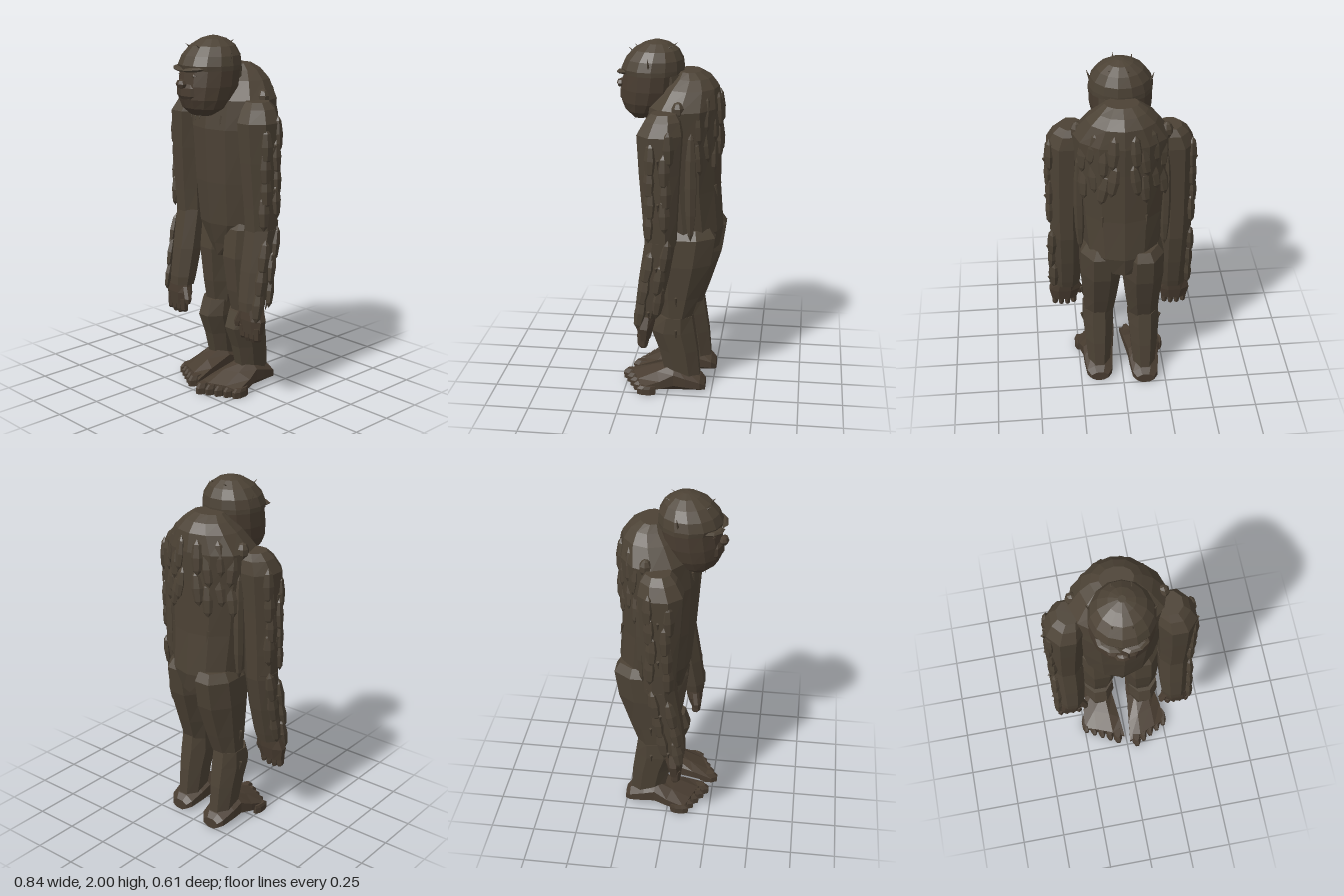
import * as THREE from 'three';

const fur = new THREE.MeshStandardMaterial({ color: 0x4c4235 });
fur.name = 'darkBrownFur';
const skin = new THREE.MeshStandardMaterial({ color: 0x493d31 });
skin.name = 'warmBrownSkin';

// faceted mesh
function part(name, geo, mat, parent) {
  const g = geo.index ? geo.toNonIndexed() : geo;
  g.computeVertexNormals();
  const m = new THREE.Mesh(g, mat);
  m.name = name;
  parent.add(m);
  return m;
}

// closed skin over level rings, bottom to top: [x, y, z, rx, rz]
function loft(rings, n, turn = 0.5) {
  const pos = [], idx = [];
  for (const [x, y, z, rx, rz] of rings) {
    for (let j = 0; j < n; j++) {
      const a = ((j + turn) / n) * Math.PI * 2;
      pos.push(x + Math.cos(a) * rx, y, z + Math.sin(a) * rz);
    }
  }
  const last = rings.length - 1, c0 = rings.length * n;
  pos.push(...rings[0].slice(0, 3), ...rings[last].slice(0, 3));
  for (let j = 0; j < n; j++) {
    const k = (j + 1) % n;
    for (let i = 0; i < last; i++) {
      const a = i * n + j, b = i * n + k;
      idx.push(a, a + n, b, b, a + n, b + n);
    }
    idx.push(c0, j, k, c0 + 1, last * n + k, last * n + j);
  }
  const g = new THREE.BufferGeometry();
  g.setAttribute('position', new THREE.Float32BufferAttribute(pos, 3));
  g.setIndex(idx);
  return g;
}

// faceted ellipsoid lump
function lump(name, x, y, z, rx, ry, rz, mat, parent, w = 7, h = 5) {
  const m = part(name, new THREE.SphereGeometry(1, w, h).scale(rx, ry, rz), mat, parent);
  m.position.set(x, y, z);
  return m;
}

// pointed wisp of hair
function wisp(x, y, z, len, rx, rz, parent) {
  const m = part('hairWisp', new THREE.ConeGeometry(0.009, len, 4), fur, parent);
  m.position.set(x, y, z);
  m.rotation.set(rx, 0, rz);
}

let seed = 7;
const rnd = (a, b) => {
  seed = (seed * 16807) % 2147483647;
  return a + (b - a) * (seed / 2147483647);
};

function buildHead(root) {
  const head = new THREE.Group();
  head.name = 'head';
  head.position.set(-0.01, 0, 0.1);
  head.rotation.y = -0.17;
  root.add(head);
  part('jaw', loft([
    [0, 1.58, 0.06, 0.08, 0.05], [0, 1.62, 0.04, 0.135, 0.115], [0, 1.67, 0.025, 0.158, 0.15],
    [0, 1.74, 0.01, 0.17, 0.165], [0, 1.83, 0, 0.172, 0.162],
  ], 14), skin, head);
  part('skullCap', loft([
    [0, 1.825, 0, 0.174, 0.17], [0, 1.85, 0.003, 0.174, 0.174], [0, 1.9, -0.005, 0.16, 0.16],
    [0, 1.95, -0.015, 0.124, 0.124], [0, 1.985, -0.02, 0.07, 0.07], [0, 2, -0.02, 0.02, 0.02],
  ], 14), fur, head);
  lump('muzzle', 0, 1.71, 0.13, 0.1, 0.07, 0.06, skin, head, 8, 5);
  lump('nose', 0, 1.752, 0.185, 0.04, 0.026, 0.026, skin, head, 7, 4);
  for (const s of [-1, 1]) {
    const brow = lump('browRidge', s * 0.064, 1.83, 0.148, 0.075, 0.014, 0.042, fur, head, 7, 4);
    brow.rotation.set(0, s * 0.4, s * 0.1);
    lump('eye', s * 0.06, 1.797, 0.142, 0.026, 0.013, 0.016, skin, head, 6, 4);
    wisp(s * 0.168, 1.9, -0.02, 0.07, 0, s * -0.35, head);
    wisp(s * 0.05, 1.945, 0.105, 0.05, 0.9, 0, head);
    wisp(s * 0.05, 1.965, -0.1, 0.05, -1, 0, head);
  }
  for (let i = -1; i <= 1; i++) wisp(i * 0.04, 1.585, 0.09, 0.05, Math.PI - 0.4, 0, head);
}

function buildArm(s, root) {
  const arm = new THREE.Group();
  arm.name = s > 0 ? 'leftArm' : 'rightArm';
  // the right arm hangs a little further back
  arm.position.z = s > 0 ? 0 : -0.045;
  root.add(arm);
  part('upperArm', loft([
    [s * 0.305, 0.95, 0.022, 0.094, 0.088], [s * 0.305, 1.1, 0.024, 0.097, 0.098],
    [s * 0.298, 1.35, 0.028, 0.104, 0.115], [s * 0.29, 1.56, 0.028, 0.112, 0.128],
    [s * 0.275, 1.63, 0.015, 0.09, 0.1], [s * 0.262, 1.665, 0.01, 0.065, 0.07],
  ], 8), fur, arm);
  part('forearm', loft([
    [s * 0.31, 0.53, 0.097, 0.076, 0.068], [s * 0.308, 0.58, 0.09, 0.083, 0.076],
    [s * 0.305, 0.75, 0.06, 0.092, 0.086], [s * 0.305, 0.98, 0.022, 0.097, 0.088],
  ], 8), fur, arm);
  part('palm', loft([
    [s * 0.328, 0.405, 0.11, 0.078, 0.036], [s * 0.325, 0.48, 0.105, 0.096, 0.05],
    [s * 0.318, 0.545, 0.1, 0.078, 0.054],
  ], 8), skin, arm);
  for (let i = 0; i < 4; i++) {
    const x = s * (0.272 + i * 0.037);
    const tip = i === 0 || i === 3 ? 0.362 : 0.352;
    part('finger', loft([
      [x, tip, 0.112, 0.014, 0.018], [x, 0.375, 0.116, 0.019, 0.026], [x, 0.44, 0.118, 0.02, 0.028],
    ], 6), skin, arm);
  }
  part('thumb', loft([
    [s * 0.232, 0.42, 0.125, 0.014, 0.014], [s * 0.234, 0.45, 0.122, 0.023, 0.024],
    [s * 0.262, 0.52, 0.11, 0.022, 0.025],
  ], 6), skin, arm);

  // shaggy clumps down the outer side, in two staggered columns
  for (let i = 0; i < 14; i++) {
    const low = i > 7;
    const y = low ? 0.9 - (i - 8) * 0.065 : 1.5 - i * 0.06;
    const turn = (i % 2 ? 0.45 : -0.45) + rnd(-0.15, 0.15);
    const zc = low ? 0.022 + (0.98 - y) * 0.165 : 0.025;
    const m = lump('armFurClump', s * (0.3 + Math.cos(turn) * 0.1), y,
      zc + Math.sin(turn) * 0.1, 0.023, 0.1, 0.034, fur, arm, 6, 4);
    m.rotation.set(low ? -0.17 : 0, -s * turn, s * 0.04);
    if (i % 4 === 0) wisp(s * 0.405, y - 0.08, zc, 0.06, Math.PI, s * 0.3, arm);
  }
  lump('shoulderTuft', s * 0.235, 1.67, -0.06, 0.035, 0.05, 0.035, fur, arm);
}

function buildLeg(s, root) {
  const leg = new THREE.Group();
  leg.name = s > 0 ? 'leftLeg' : 'rightLeg';
  // the right leg stands a little further back
  if (s < 0) leg.position.set(0.01, 0, -0.042);
  root.add(leg);
  part('thigh', loft([
    [s * 0.132, 0.45, -0.045, 0.092, 0.09], [s * 0.126, 0.58, -0.055, 0.105, 0.128],
    [s * 0.122, 0.78, -0.075, 0.125, 0.175], [s * 0.122, 0.94, -0.095, 0.122, 0.178],
    [s * 0.115, 0.99, -0.1, 0.095, 0.14],
  ], 8), fur, leg);
  part('shin', loft([
    [s * 0.138, 0.09, -0.083, 0.07, 0.106], [s * 0.138, 0.25, -0.058, 0.084, 0.118],
    [s * 0.137, 0.37, -0.027, 0.096, 0.132], [s * 0.137, 0.465, -0.035, 0.092, 0.108],
  ], 8), fur, leg);

  // foot: heel to ball, flat sole, front edge slanting back towards the outside
  const foot = new THREE.Group();
  foot.name = 'foot';
  foot.position.x = s * 0.15;
  leg.add(foot);
  const heights = [[-0.212, 0.06, 0.055], [-0.185, 0.09, 0.08], [-0.1, 0.13, 0.092],
    [-0.035, 0.16, 0.096], [0.08, 0.11, 0.117], [0.19, 0.06, 0.13]];
  const g = loft(heights.map(([z, h, rx]) => [-s * 0.01, z, -h * 0.5, rx, h * 0.54]), 8)
    .rotateX(Math.PI / 2);
  const p = g.attributes.position;
  for (let i = 0; i < p.count; i++) {
    p.setY(i, Math.max(0, p.getY(i)));
    if (p.getZ(i) > 0.05) p.setZ(i, p.getZ(i) - s * p.getX(i) * 0.4);
  }
  part('footBody', g, skin, foot);
  for (let i = 0; i < 5; i++) {
    const x = s * (-0.088 + i * 0.047), z = 0.222 - i * 0.026;
    const r = i === 0 ? 0.028 : 0.024;
    part('toe', loft([
      [x, 0, z, r, 0.056], [x, 0.035, z, r, 0.058], [x, 0.06 - i * 0.002, z - 0.01, r * 0.75, 0.045],
    ], 8), skin, foot);
  }
  for (let i = 0; i < 2; i++) wisp(s * 0.225, 0.36 + i * 0.2, -0.05, 0.08, Math.PI, s * 0.2, leg);
}

export function createModel() {
  const root = new THREE.Group();
  root.name = 'shaggyApe';

  part('torso', loft([
    [0, 0.765, -0.03, 0.03, 0.09], [0, 0.84, -0.095, 0.13, 0.175], [0, 0.96, -0.09, 0.215, 0.203],
    [0, 1.2, -0.07, 0.235, 0.205], [0, 1.5, -0.062, 0.258, 0.212], [0, 1.66, -0.072, 0.262, 0.205],
    [0, 1.76, -0.1, 0.19, 0.16], [0, 1.81, -0.11, 0.135, 0.11], [0, 1.842, -0.1, 0.09, 0.065],
  ], 12, 0), fur, root);
  part('neck', loft([[0, 1.6, 0, 0.12, 0.12], [0, 1.83, 0.02, 0.12, 0.1]], 10), fur, root);
  buildHead(root);
  for (const s of [-1, 1]) {
    buildArm(s, root);
    buildLeg(s, root);
    // shaggy clumps over the shoulder blades
    for (let i = 0; i < 8; i++) {
      const x = 0.06 + (i % 4) * 0.05, y = 1.64 - Math.floor(i / 4) * 0.17 - (i % 2) * 0.06;
      const z = -0.267 + Math.max(0, x - 0.08) * 0.75;
      const m = lump('backFurClump', s * x, y, z, 0.034, 0.1, 0.02, fur, root, 6, 4);
      m.rotation.set(0.1, s * -0.4, s * rnd(-0.05, 0.25));
    }
    lump('flankFur', s * 0.235, 1.25, -0.13, 0.03, 0.31, 0.035, fur, root, 6, 6);
    wisp(s * 0.12, 1.2, -0.26, 0.07, Math.PI + 0.2, 0, root);
    wisp(s * 0.1, 1.55, 0.13, 0.06, Math.PI - 0.2, 0, root);
  }
  return root;
}
